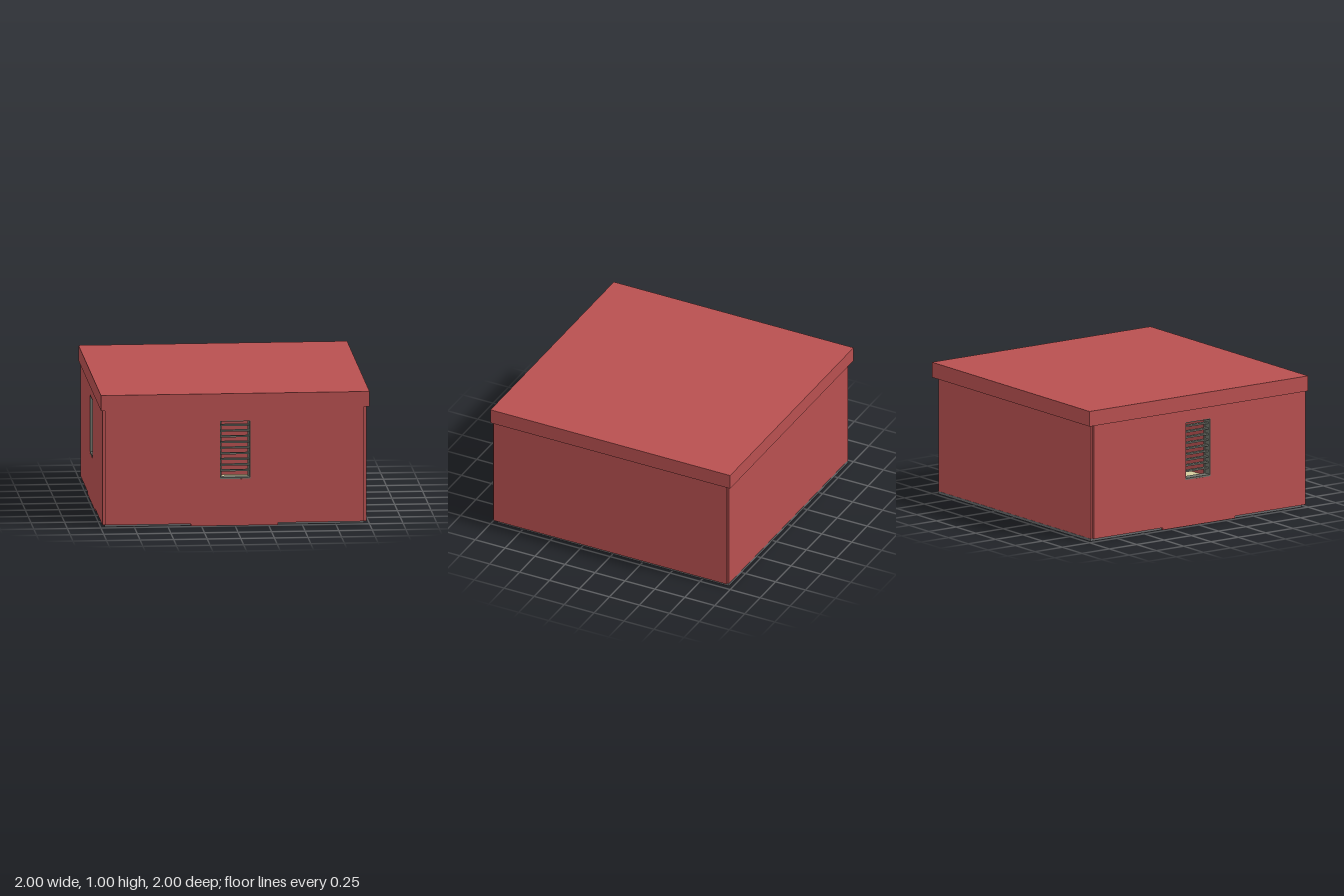
import * as THREE from 'three';

const material = (name, color) => {
  const m = new THREE.MeshStandardMaterial({ color });
  m.name = name;
  return m;
};

export function createModel() {
  const model = new THREE.Group();
  model.name = 'hut';
  const red = material('red paint', 0xb85050);
  const grey = material('grey base', 0x66686a);
  const frameGrey = material('window grey', 0x70726a);
  const cream = material('cream floor', 0xd6cd9f);

  // Box given by its lower and upper limits on each axis
  const box = (name, mat, x0, x1, y0, y1, z0, z1, parent = model) => {
    const mesh = new THREE.Mesh(new THREE.BoxGeometry(x1 - x0, y1 - y0, z1 - z0), mat);
    mesh.position.set((x0 + x1) / 2, (y0 + y1) / 2, (z0 + z1) / 2);
    mesh.name = name;
    parent.add(mesh);
    return mesh;
  };

  const eave = 0.885, sill = 0.02, thick = 0.065;
  const win = { w: 0.115, y0: 0.355, y1: 0.795 };

  // Wall with a louvred window; its outer face lies on local z = 0
  function windowWall(name, u0, u1, skirt0, skirt1) {
    const wall = new THREE.Group();
    wall.name = name;
    const outline = new THREE.Shape([
      [u0, sill], [skirt0, sill], [skirt0, 0.003], [skirt1, 0.003],
      [skirt1, sill], [u1, sill], [u1, eave], [u0, eave],
    ].map(([x, y]) => new THREE.Vector2(x, y)));
    outline.holes.push(new THREE.Path([
      [-win.w, win.y0], [-win.w, win.y1], [win.w, win.y1], [win.w, win.y0],
    ].map(([x, y]) => new THREE.Vector2(x, y))));
    const panel = new THREE.Mesh(
      new THREE.ExtrudeGeometry(outline, { depth: thick, bevelEnabled: false }), red);
    panel.position.z = -thick;
    panel.name = 'wallPanel';
    wall.add(panel);

    // Grey lining of the opening
    const t = 0.006, back = -thick - 0.002, front = -0.001;
    for (const s of [-1, 1]) {
      const edges = [s * win.w, s * (win.w - t)].sort((a, b) => a - b);
      box('windowJamb', frameGrey, ...edges, win.y0, win.y1, back, front, wall);
      const stop = [s * win.w, s * 0.097].sort((a, b) => a - b);
      box('windowStop', frameGrey, ...stop, win.y0, win.y1, back, back + 0.008, wall);
    }
    box('windowSill', frameGrey, -win.w, win.w, win.y0, win.y0 + 0.012, back, front, wall);
    box('windowHead', frameGrey, -win.w, win.w, win.y1 - t, win.y1, back, front, wall);

    // Horizontal slats
    for (let i = 0; i < 9; i++) {
      const y = 0.757 - i * 0.0428;
      box('slat', frameGrey, -0.109, 0.109, y - 0.006, y + 0.006, -0.05, -0.02, wall);
    }
    model.add(wall);
    return wall;
  }

  // Front and left-hand window walls
  windowWall('frontWall', -0.97, 0.96, -0.33, 0.32).position.z = 0.998;
  const side = windowWall('windowSideWall', -0.95, 0.985, -0.32, 0.34);
  side.rotation.y = -Math.PI / 2;
  side.position.x = -0.988;

  // Plain walls; the side one is made of two panels
  box('backWall', red, -0.97, 0.96, sill, eave, -0.968, -0.9);
  box('sideWallFront', red, 0.91, 0.977, sill, eave, 0.34, 0.985);
  box('sideWallBack', red, 0.91, 0.975, sill, eave, -0.955, 0.34);

  // Roof slab, base and interior floor
  box('roof', red, -1, 1, eave, 1, -1, 1);
  box('base', grey, -0.97, 0.962, 0, sill, -0.97, 0.96);
  box('floor', cream, -0.92, 0.91, sill, sill + 0.004, -0.9, 0.93);

  return model;
}
